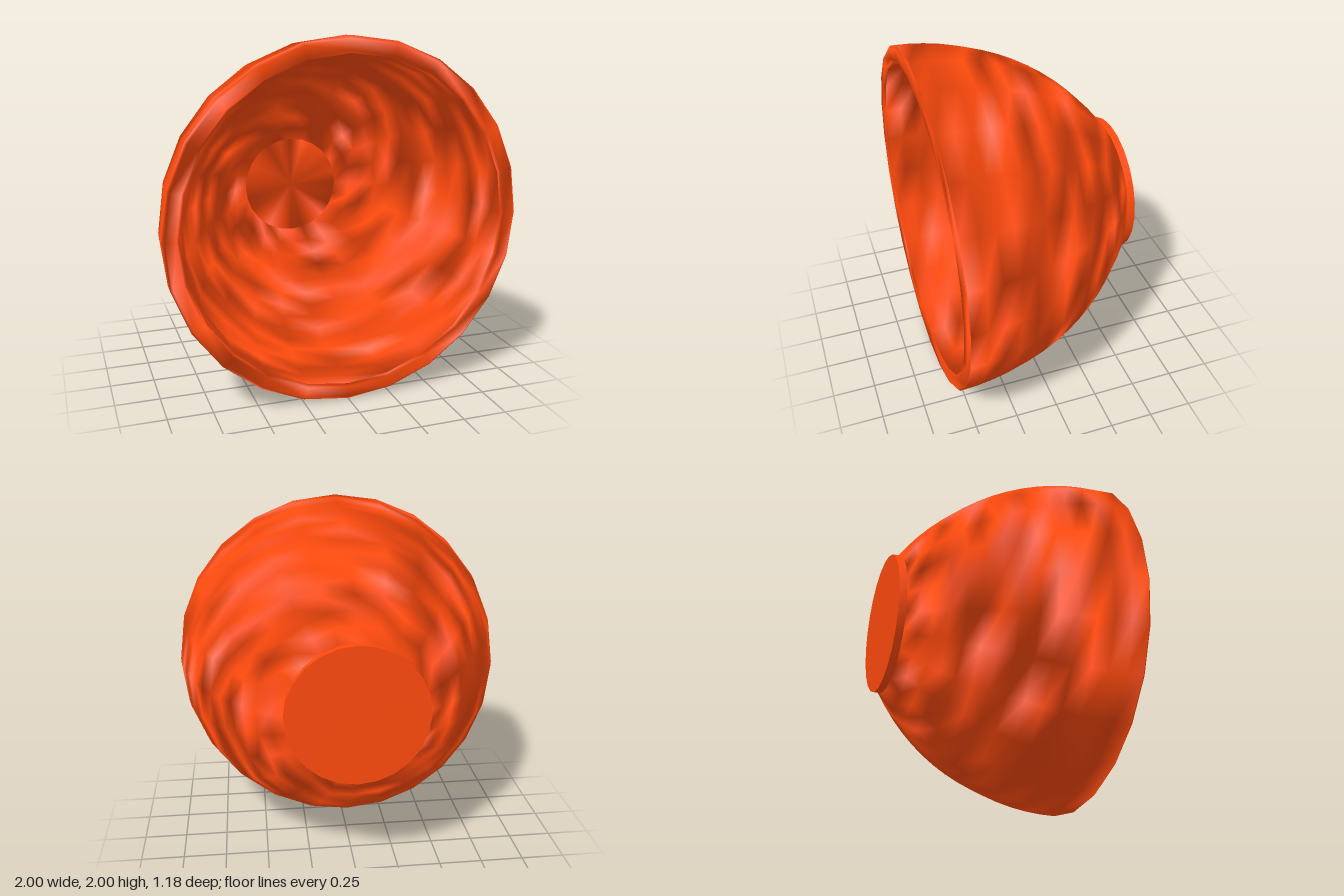
import * as THREE from 'three';
import { mergeVertices } from 'three/addons/utils/BufferGeometryUtils.js';

const SIDES = 24;
const LIP_Z = 0.575;    // where the curved walls end
const FRONT_Z = 0.588;  // front face of the rim
const BACK_Z = -0.588;  // underside of the foot
const ARC_CENTRE = -0.345;
const material = new THREE.MeshStandardMaterial({ color: 0xff4a0d });

// Circular-arc wall profile as [radius, z], from rStart at the back to the lip
function wallProfile(rimRadius, rStart, steps) {
  const arc = rimRadius - ARC_CENTRE;
  const start = Math.acos((rStart - ARC_CENTRE) / arc);
  return Array.from({ length: steps + 1 }, (_, i) => {
    const a = start * (1 - i / steps);
    return [ARC_CENTRE + arc * Math.cos(a), LIP_Z - arc * Math.sin(a)];
  });
}

// Seeded generator of values from -1 to 1
function seeded(seed) {
  let s = seed;
  return () => {
    s = (s * 16807) % 2147483647;
    return (s / 2147483647) * 2 - 1;
  };
}

// Tilt the normals irregularly for a rough, streaky finish on a true surface
function roughen(geometry, seed) {
  const random = seeded(seed);
  const normals = geometry.attributes.normal;
  const n = new THREE.Vector3();
  const tilt = new THREE.Vector3();
  for (let i = 0; i < normals.count; i++) {
    n.fromBufferAttribute(normals, i);
    tilt.set(random(), random(), random());
    n.addScaledVector(tilt, 0.8).normalize();
    normals.setXYZ(i, n.x, n.y, n.z);
  }
}

// Turn a profile about the z axis, with normals joined across the seam
function turned(name, profile, roughSeed = 0) {
  let geometry = new THREE.LatheGeometry(profile.map(([r, z]) => new THREE.Vector2(r, z)), SIDES);
  geometry.rotateX(Math.PI / 2);
  geometry.deleteAttribute('uv');
  geometry.deleteAttribute('normal');
  geometry = mergeVertices(geometry, 1e-4);
  geometry.computeVertexNormals();
  if (roughSeed) roughen(geometry, roughSeed);
  const mesh = new THREE.Mesh(geometry, material);
  mesh.name = name;
  mesh.position.y = 1; // the rim edge rests on the ground
  return mesh;
}

export function createModel() {
  const bowl = new THREE.Group();
  bowl.name = 'bowl';

  const outer = wallProfile(1, 0.4, 14);
  const inner = wallProfile(0.91, 0.3, 14);
  const floorZ = inner[0][1];

  bowl.add(
    // Outer and inner skins of the wall
    turned('outerWall', outer, 4711),
    turned('innerWall', inner.slice().reverse(), 9203),
    // Softly rounded lip joining the two skins
    turned('rim', [[1, LIP_Z], [0.985, FRONT_Z], [0.925, FRONT_Z], [0.91, LIP_Z]], 3307),
    // Inner floor and the short round foot at the back
    turned('floor', [[0.3, floorZ], [0, floorZ]], 6121),
    turned('footSide', [[0.4, BACK_Z], [0.4, outer[0][1]]]),
    turned('footBase', [[0, BACK_Z], [0.4, BACK_Z]]),
  );
  return bowl;
}
